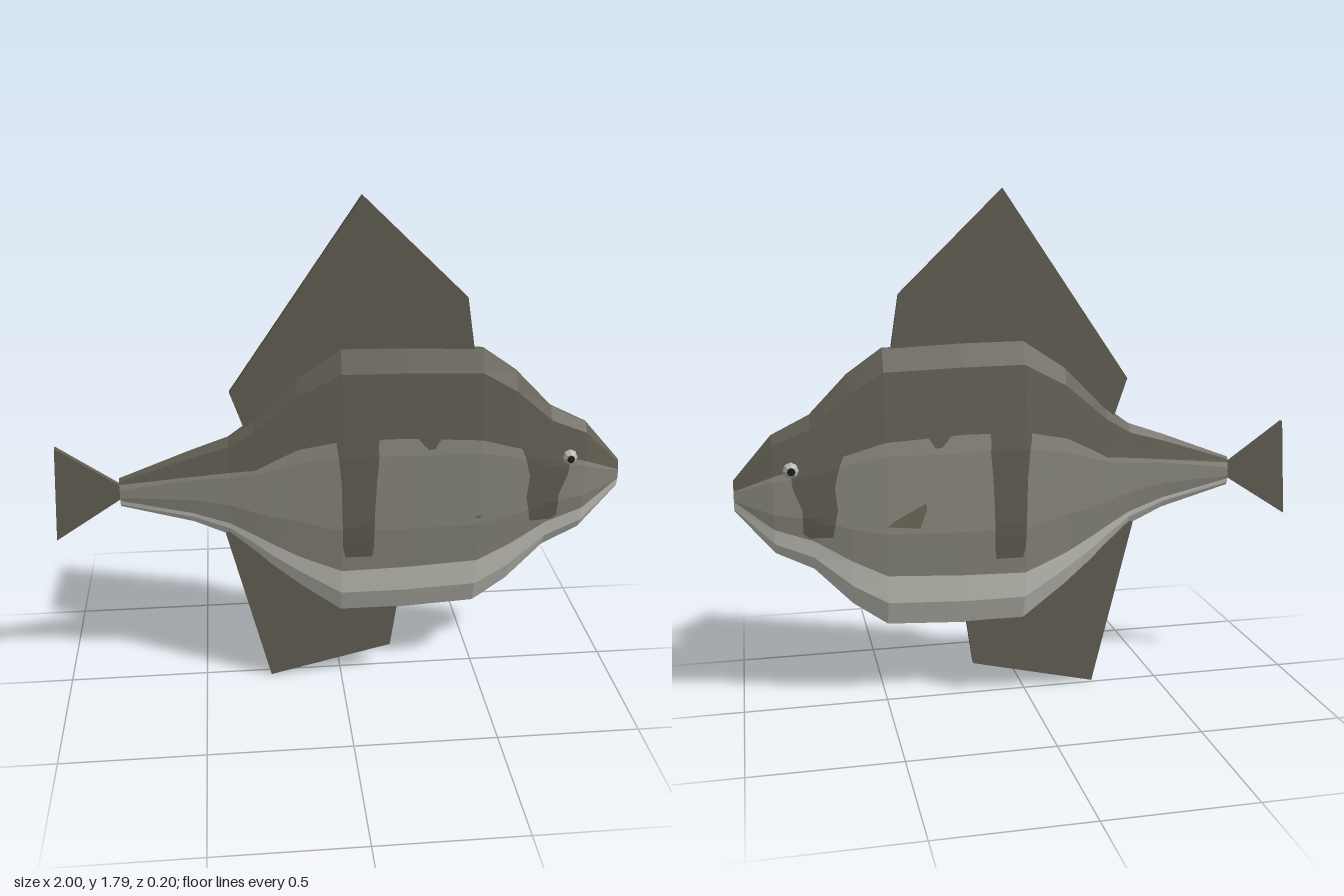
import * as THREE from 'three';
import { ConvexGeometry } from 'three/addons/geometries/ConvexGeometry.js';

const MID_Z = 0.023;

// Body sections: x, bottom, top, half thickness, belly colour line, back colour line
const SECTIONS = [
  [-0.77, 0.72, 0.825, 0.016, 0.745, 0.805],
  [-0.52, 0.65, 0.92, 0.03, 0.69, 0.832],
  [-0.39, 0.59, 0.965, 0.038, 0.645, 0.845],
  [-0.3, 0.51, 1.03, 0.047, 0.595, 0.853],
  [-0.25, 0.46, 1.08, 0.052, 0.565, 0.88],
  [-0.15, 0.375, 1.18, 0.06, 0.51, 0.93],
  [0.0, 0.265, 1.275, 0.074, 0.45, 0.96],
  [0.22, 0.265, 1.272, 0.074, 0.455, 0.962],
  [0.49, 0.28, 1.26, 0.073, 0.47, 0.945],
  [0.61, 0.365, 1.175, 0.067, 0.53, 0.91],
  [0.74, 0.5, 1.04, 0.06, 0.61, 0.875],
  [0.87, 0.565, 0.975, 0.047, 0.655, 0.84],
  [1.0, 0.72, 0.825, 0.016, 0.755, 0.79],
];
// Cross-section: height fraction and thickness fraction
const PROFILE = [[0, 0.12], [0.09, 0.62], [0.35, 1], [0.63, 1], [0.92, 0.62], [1, 0.12]];

function lerpTable(table, v) {
  let i = 0;
  while (i < table.length - 2 && v > table[i + 1][0]) i++;
  const a = table[i], b = table[i + 1];
  const k = THREE.MathUtils.clamp((v - a[0]) / (b[0] - a[0]), 0, 1);
  return a.map((n, j) => n + (b[j] - n) * k);
}

// Half thickness of the body at a point on its flank
function flank(x, y) {
  const [, bottom, top, half] = lerpTable(SECTIONS, x);
  return half * lerpTable(PROFILE, (y - bottom) / (top - bottom))[1];
}

function flatGeometry(positions) {
  const geo = new THREE.BufferGeometry();
  geo.setAttribute('position', new THREE.Float32BufferAttribute(positions, 3));
  geo.computeVertexNormals();
  return geo;
}

const quad = (out, a, b, c, d) => out.push(...a, ...b, ...c, ...a, ...c, ...d);

// Closed ring of 16 points, up the left flank and down the other
function ring([x, bottom, top, half, belly, back]) {
  const h = top - bottom;
  const ys = [bottom, bottom + 0.09 * h, belly, bottom + 0.35 * h,
    bottom + 0.63 * h, back, bottom + 0.92 * h, top];
  const side = ys.map((y) => [y, half * lerpTable(PROFILE, (y - bottom) / h)[1]]);
  return [
    ...side.map(([y, w]) => [x, y, MID_Z + w]),
    ...side.reverse().map(([y, w]) => [x, y, MID_Z - w]),
  ];
}

// Plate that hugs a flank; rows are y, x start, x end
function marking(rows, side) {
  const cols = 6, out = [];
  const fine = [];
  for (let r = 0; r < rows.length - 1; r++) {
    for (let k = 0; k < 3; k++) {
      fine.push(rows[r].map((n, j) => n + (rows[r + 1][j] - n) * k / 3));
    }
  }
  fine.push(rows[rows.length - 1]);
  const point = ([y, x0, x1], c) => {
    const x = x0 + (x1 - x0) * c / cols;
    return [x, y, MID_Z + side * (flank(x, y) + 0.003)];
  };
  for (let r = 0; r < fine.length - 1; r++) {
    for (let c = 0; c < cols; c++) {
      const p = [point(fine[r], c), point(fine[r], c + 1), point(fine[r + 1], c + 1), point(fine[r + 1], c)];
      quad(out, ...(side > 0 ? p : p.reverse()));
    }
  }
  return flatGeometry(out);
}

export function createModel() {
  const model = new THREE.Group();
  const material = (name, color) => {
    const m = new THREE.MeshStandardMaterial({ color });
    m.name = name;
    return m;
  };
  const dark = material('dark olive', 0x625f53);
  const grey = material('flank grey', 0x8b897e);
  const pale = material('belly pale', 0xc9c8bf);
  const eyeWhite = material('eye pale', 0xb9b8b0);
  const black = material('pupil black', 0x1c1c1a);

  const add = (name, geo, mat, parent = model) => {
    const mesh = new THREE.Mesh(geo, mat);
    mesh.name = name;
    parent.add(mesh);
    return mesh;
  };

  // Body skin, split into belly, flanks and back
  const skins = { belly: [], flanks: [], back: [] };
  const zone = (i) => {
    const k = i > 7 ? 14 - i : i;
    return k < 2 ? 'belly' : k < 5 ? 'flanks' : 'back';
  };
  const rings = SECTIONS.map(ring);
  for (let j = 0; j < rings.length - 1; j++) {
    for (let i = 0; i < 16; i++) {
      const n = (i + 1) % 16;
      quad(skins[zone(i)], rings[j][i], rings[j + 1][i], rings[j + 1][n], rings[j][n]);
    }
  }
  // Snout and tail root caps
  const nose = rings[rings.length - 1], root = rings[0];
  for (let i = 1; i < 15; i++) {
    skins.flanks.push(...nose[0], ...nose[i + 1], ...nose[i]);
    skins.flanks.push(...root[0], ...root[i], ...root[i + 1]);
  }
  const body = new THREE.Group();
  body.name = 'body';
  model.add(body);
  add('belly', flatGeometry(skins.belly), pale, body);
  add('flanks', flatGeometry(skins.flanks), grey, body);
  add('back', flatGeometry(skins.back), dark, body);

  // Flat fins
  const fin = (name, points) => {
    const shape = new THREE.Shape(points.map(([x, y]) => new THREE.Vector2(x, y)));
    const geo = new THREE.ExtrudeGeometry(shape, { depth: 0.02, bevelEnabled: false });
    add(name, geo.translate(0, 0, MID_Z - 0.01), dark);
  };
  fin('dorsalFin', [[-0.3, 0.9], [0.42, 1.1], [0.46, 1.25], [0.43, 1.44], [0.07, 1.79], [-0.38, 1.13]]);
  fin('analFin', [[-0.41, 0.6], [-0.26, 0], [0.185, 0.105], [0.21, 0.28], [0.15, 0.45], [-0.3, 0.65]]);
  fin('tailFin', [[-0.76, 0.755], [-0.76, 0.795], [-0.98, 0.95], [-1, 0.6]]);

  // Flank bands, mirrored on both sides
  const midBand = [[0.51, 0.012, 0.108], [0.55, 0.003, 0.113], [0.68, 0, 0.115],
    [0.8, -0.003, 0.12], [0.9, -0.012, 0.128], [0.935, -0.018, 0.125], [0.97, -0.02, 0.13]];
  const headBand = [[0.622, 0.675, 0.755], [0.64, 0.672, 0.775], [0.72, 0.657, 0.775],
    [0.8, 0.665, 0.805], [0.85, 0.652, 0.81], [0.875, 0.645, 0.8], [0.91, 0.63, 0.7]];
  const notch = [[0.92, 0.3, 0.32], [0.935, 0.285, 0.33], [0.965, 0.26, 0.35]];
  for (const side of [1, -1]) {
    const label = side > 0 ? 'left' : 'right';
    add(label + 'MidBand', marking(midBand, side), dark);
    add(label + 'HeadBand', marking(headBand, side), dark);
    add(label + 'BackNotch', marking(notch, side), dark);

    // Eye with a dark pupil
    const eye = new THREE.Group();
    eye.name = label + 'Eye';
    eye.position.set(0.808, 0.86, MID_Z + side * 0.043);
    const ball = new THREE.SphereGeometry(0.029, 8, 6).rotateX(Math.PI / 2).toNonIndexed();
    ball.computeVertexNormals();
    add('eyeball', ball, eyeWhite, eye);
    const pupil = add('pupil', new THREE.CylinderGeometry(0.012, 0.015, 0.008, 8), black, eye);
    pupil.rotation.x = side * Math.PI / 2;
    pupil.position.z = side * 0.027;
    model.add(eye);
  }

  // Pectoral fins: one spread, one folded against the flank
  const wedge = (name, points) =>
    add(name, new ConvexGeometry(points.map((p) => new THREE.Vector3(...p))), dark);
  wedge('rightPectoralFin', [[0.5, 0.65, -0.046], [0.385, 0.655, -0.105],
    [0.36, 0.73, -0.062], [0.4, 0.645, -0.04], [0.35, 0.71, -0.045]]);
  wedge('leftPectoralFin', [[0.5, 0.655, 0.1], [0.48, 0.647, 0.099],
    [0.48, 0.655, 0.09], [0.4, 0.68, 0.07]]);
  return model;
}
